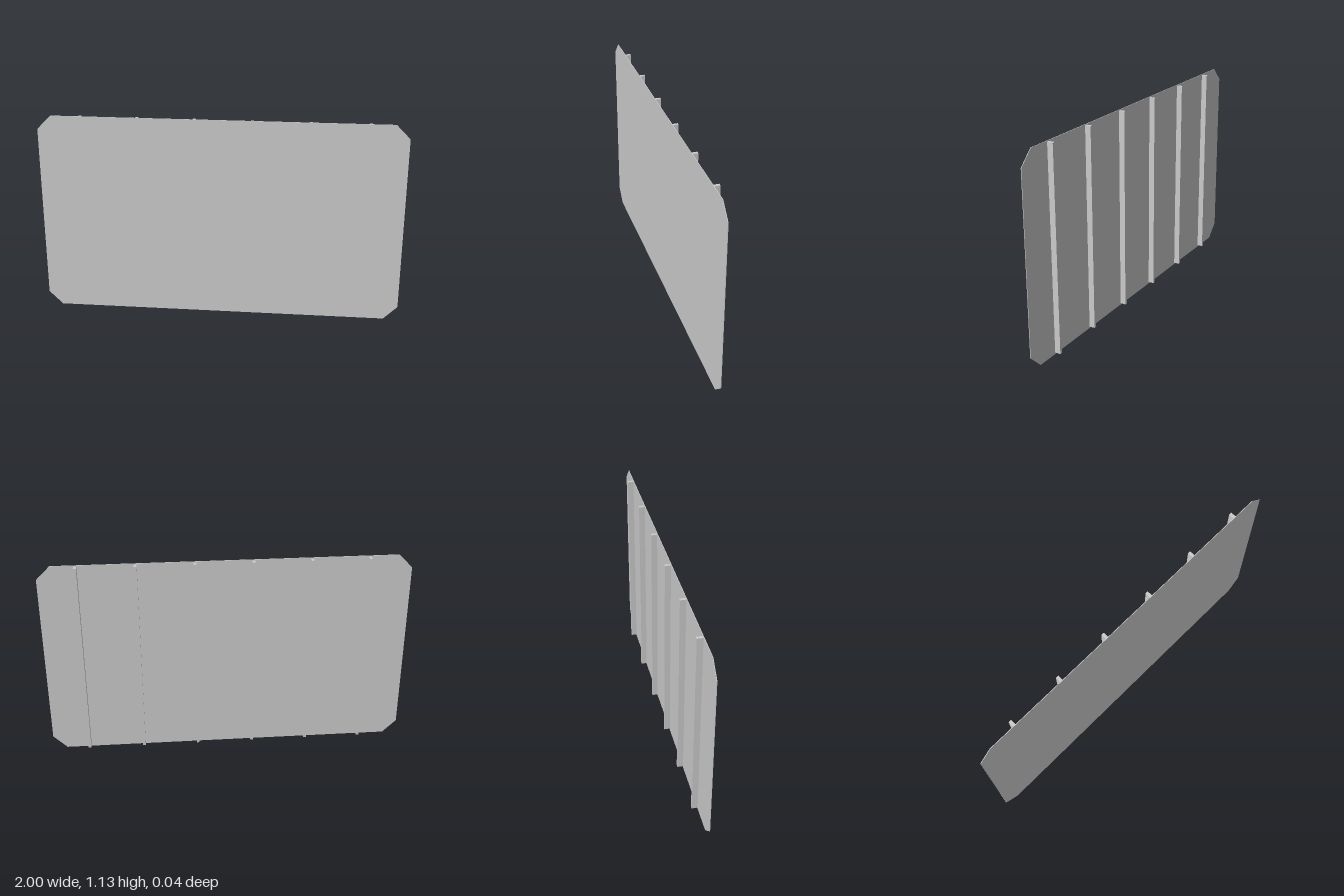
import * as THREE from 'three';

const W = 2, H = 1.128, CUT = 0.076;      // panel outline and corner cut
const FRONT = 0.0175, SHEET = 0.003;      // front face position and sheet thickness

export function createModel() {
  const model = new THREE.Group();
  const material = new THREE.MeshStandardMaterial({ color: 0xcccccc, flatShading: true });

  // Thin sheet with chamfered corners
  const x = W / 2;
  const outline = new THREE.Shape([
    [-x + CUT, 0], [x - CUT, 0], [x, CUT], [x, H - CUT],
    [x - CUT, H], [-x + CUT, H], [-x, H - CUT], [-x, CUT],
  ].map(([px, py]) => new THREE.Vector2(px, py)));
  const sheet = new THREE.ExtrudeGeometry(outline, { depth: SHEET, bevelEnabled: false });
  sheet.translate(0, 0, FRONT - SHEET);
  const panel = new THREE.Mesh(sheet, material);
  panel.name = 'panel';
  model.add(panel);

  // Six upright battens on the back, set slightly towards the left
  const depth = 2 * FRONT - SHEET;
  const batten = new THREE.BoxGeometry(0.016, 1.114, depth);
  for (let i = 0; i < 6; i++) {
    const mesh = new THREE.Mesh(batten, material);
    mesh.name = `backBatten${i + 1}`;
    mesh.position.set(-0.766 + i * 0.312, H / 2 + 0.002, -FRONT + depth / 2);
    model.add(mesh);
  }
  return model;
}
